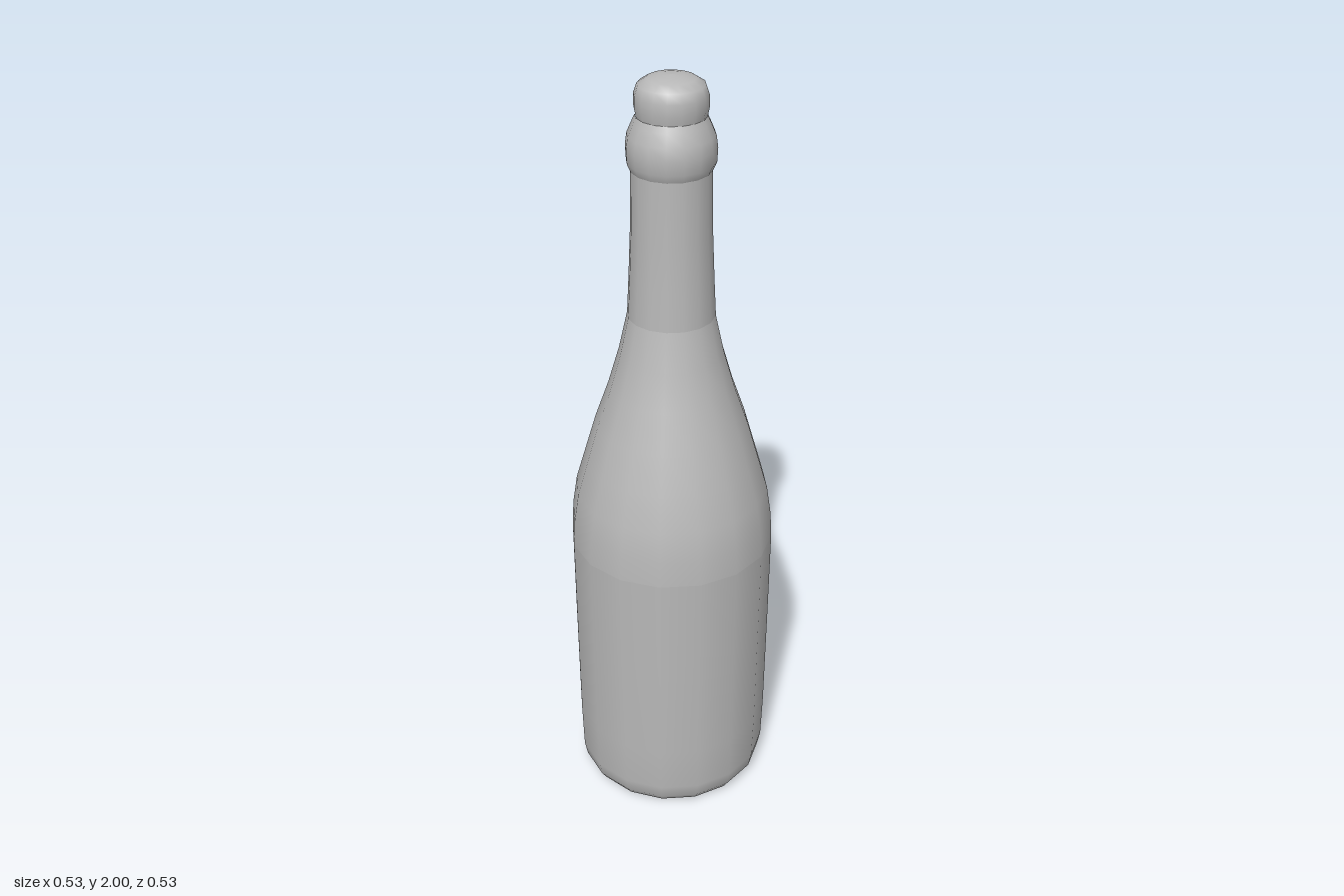
import * as THREE from 'three';

const SIDES = 16;

// Each profile runs upward as [radius, height]; separate parts keep a crease at their seams.
const PARTS = {
  punt: [[0, 0.12], [0.06, 0.11], [0.12, 0.07], [0.165, 0.02], [0.185, 0.004]],
  body: [[0.185, 0.004], [0.21, 0], [0.235, 0.008], [0.25, 0.03], [0.258, 0.07], [0.262, 0.2], [0.265, 0.5], [0.267, 0.76]],
  shoulder: [[0.267, 0.76], [0.263, 0.83], [0.251, 0.91], [0.225, 1.0], [0.196, 1.1], [0.161, 1.2], [0.132, 1.3], [0.11, 1.4]],
  neck: [[0.11, 1.4], [0.105, 1.5], [0.1, 1.62], [0.098, 1.78]],
  lip: [[0.098, 1.775], [0.107, 1.795], [0.109, 1.83], [0.105, 1.86], [0.092, 1.89], [0.085, 1.905]],
  cork: [[0.083, 1.9], [0.088, 1.925], [0.088, 1.955], [0.08, 1.978], [0.058, 1.992], [0.03, 1.998], [0, 2]],
};

export function createModel() {
  const group = new THREE.Group();
  group.name = 'bottle';
  const grey = new THREE.MeshStandardMaterial({ color: 0xb8b8b8 });
  grey.name = 'plain grey';

  for (const [name, profile] of Object.entries(PARTS)) {
    const points = profile.map(([r, y]) => new THREE.Vector2(r, y));
    const mesh = new THREE.Mesh(new THREE.LatheGeometry(points, SIDES), grey);
    mesh.name = name;
    group.add(mesh);
  }
  return group;
}
